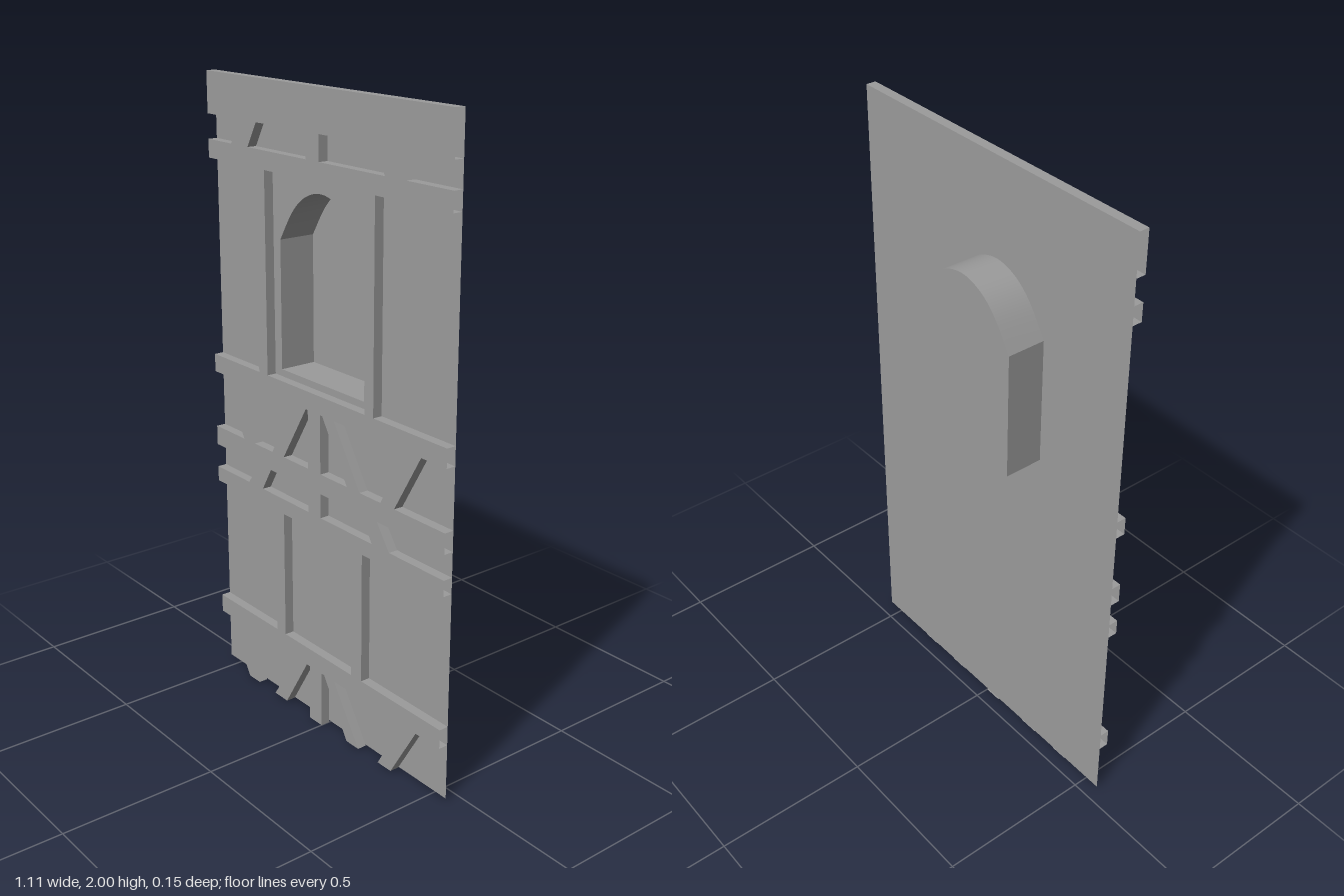
import * as THREE from 'three';
import { mergeVertices, toCreasedNormals } from 'three/addons/utils/BufferGeometryUtils.js';

const W = 0.553, FRONT = 0.076, SHEET = 0.045, BACK = -0.077;
const material = new THREE.MeshStandardMaterial({ color: 0x9b9b9b, side: THREE.DoubleSide });
const vectors = (pts) => pts.map(([x, y]) => new THREE.Vector2(x, y));

// Walls running along a closed outline between two depths; open ends at the side edges
function wallGeometry(pts, z0, z1) {
  const pos = [];
  pts.forEach((a, i) => {
    const b = pts[(i + 1) % pts.length];
    if (Math.abs(a.x) === W && a.x === b.x) return;
    pos.push(a.x, a.y, z0, b.x, b.y, z0, b.x, b.y, z1);
    pos.push(a.x, a.y, z0, b.x, b.y, z1, a.x, a.y, z1);
  });
  const g = new THREE.BufferGeometry();
  g.setAttribute('position', new THREE.Float32BufferAttribute(pos, 3));
  return toCreasedNormals(mergeVertices(g), 0.5);
}

// Flat face with optional openings
function faceGeometry(outline, holes, z) {
  const shape = new THREE.Shape(outline);
  holes.forEach((h) => shape.holes.push(new THREE.Path(h)));
  return new THREE.ShapeGeometry(shape).translate(0, 0, z);
}

export function createModel() {
  const group = new THREE.Group();
  const add = (name, geometry) => {
    const mesh = new THREE.Mesh(geometry, material);
    mesh.name = name;
    group.add(mesh);
  };

  // Feet of the braces and centre post, left to right
  const F = 0.004, T = 0.187;
  const feet = [
    [-0.397, F], [-0.34, F], [-0.445, T], [-0.128, T], [-0.25, F], [-0.185, F],
    [-0.075, T], [-0.06, T], [-0.06, 0], [0, 0], [0, T], [0.015, T],
    [0.127, F], [0.185, F], [0.065, T], [0.386, T], [0.28, F], [0.34, F], [0.45, T],
  ];
  // Recesses open to the side edges: [bottom y, top y, left bottom x, left top x, right bottom x, right top x]
  const notches = [
    [0.248, 0.67, -0.233, -0.233, 0.198, 0.198],
    [0.72, 0.798, -0.375, -0.32, 0.32, 0.265],
    [0.862, 1.05, -0.397, -0.505, 0.34, 0.45],
    [1.108, 1.738, -0.307, -0.307, 0.245, 0.245],
    [1.795, 1.872, -0.43, -0.386, 0.37, 0.327],
  ];
  const rightSide = [[W, T]], leftSide = [[-W, T]];
  for (const [y0, y1, l0, l1, r0, r1] of notches) {
    rightSide.push([W, y0], [r0, y0], [r1, y1], [W, y1]);
    leftSide.push([-W, y0], [l0, y0], [l1, y1], [-W, y1]);
  }
  const outline = vectors([
    ...feet, ...rightSide, [W, 2], [-W, 2], ...leftSide.reverse(), [-0.505, T],
  ]);

  // Enclosed recesses: [bottom y, top y, bottom left, bottom right, top right, top left]
  const recesses = [
    [0.248, 0.67, -0.188, 0.15, 0.15, -0.188],
    [0.72, 0.798, -0.3, -0.06, -0.06, -0.254],
    [0.72, 0.798, 0, 0.243, 0.196, 0],
    [0.862, 1.05, -0.34, -0.245, -0.128, -0.445],
    [0.862, 1.05, -0.185, -0.06, -0.06, -0.07],
    [0.862, 1.05, 0, 0.127, 0.01, 0],
    [0.862, 1.05, 0.185, 0.28, 0.386, 0.065],
    [1.108, 1.738, -0.263, 0.206, 0.206, -0.263],
    [1.795, 1.872, -0.345, -0.06, -0.06, -0.3],
    [1.795, 1.872, 0, 0.285, 0.243, 0],
  ].map(([y0, y1, a, b, c, d]) => vectors([[a, y0], [b, y0], [c, y1], [d, y1]]));

  // Raised timber frame
  add('timberFrameFront', faceGeometry(outline, recesses, FRONT));
  add('timberFrameEdges', wallGeometry(outline, SHEET, FRONT));
  recesses.forEach((r) => add('recessEdges', wallGeometry(r, SHEET, FRONT)));

  // Arched window niche
  const arch = new THREE.SplineCurve(vectors([
    [0.167, 1.533], [0.106, 1.625], [0.044, 1.677], [-0.031, 1.697],
    [-0.106, 1.677], [-0.168, 1.625], [-0.229, 1.533],
  ])).getPoints(24);
  const niche = [...vectors([[-0.229, 1.13], [0.167, 1.13]]), ...arch];
  add('wallSheet', faceGeometry(vectors([[-W, 0.007], [W, 0.007], [W, 2], [-W, 2]]), [niche], SHEET));
  add('nicheSides', wallGeometry(niche, BACK, SHEET));
  add('nicheBack', faceGeometry(niche, [], BACK));

  return group;
}
